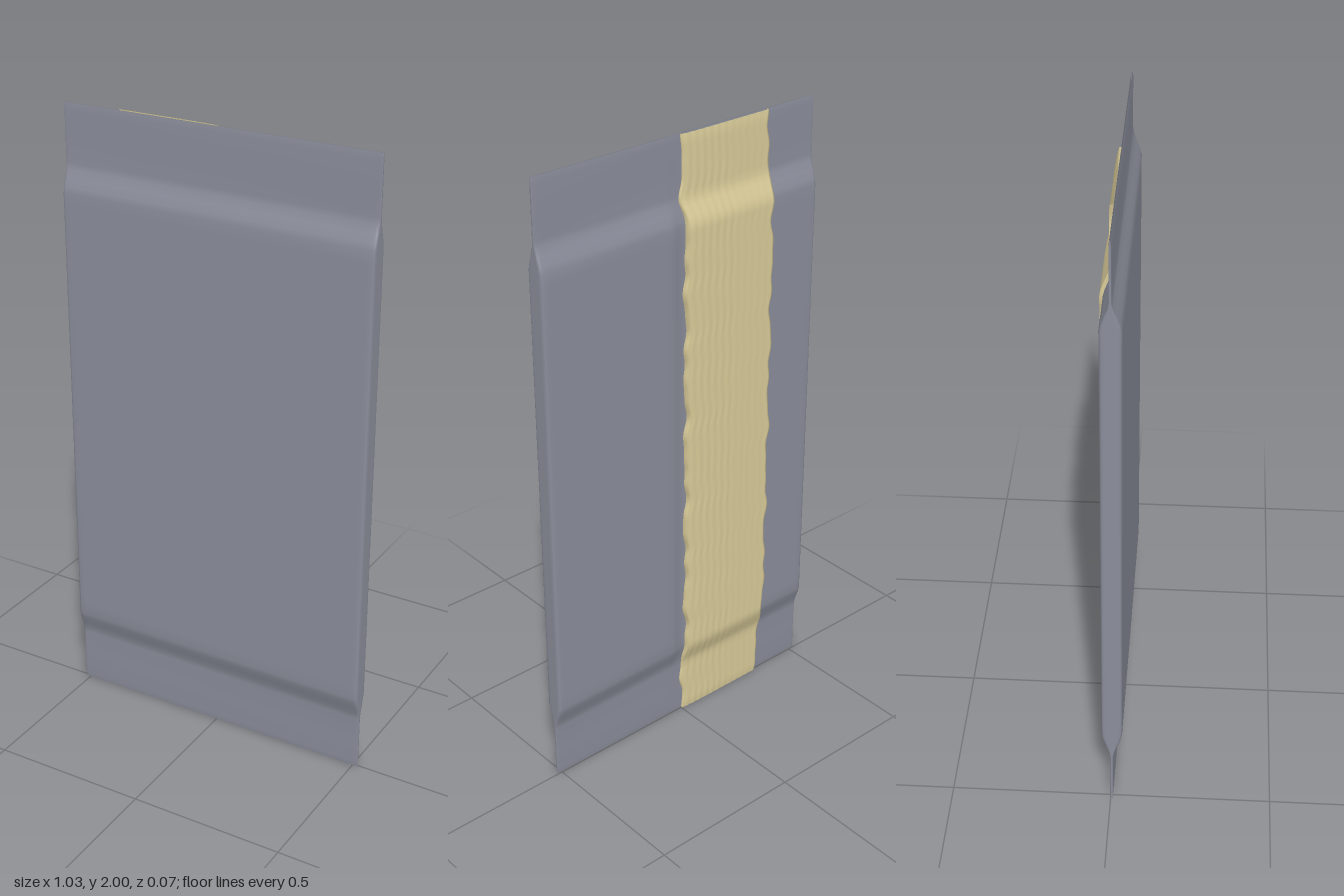
import * as THREE from 'three';

const film = new THREE.MeshStandardMaterial({ color: 0x8a8d9a, side: THREE.DoubleSide });
film.name = 'grey film';
const tape = new THREE.MeshStandardMaterial({ color: 0xd9cb99, side: THREE.DoubleSide });
tape.name = 'pale yellow strip';

const W = 0.517, MID = 0.004;

// Half thickness of the packet over its height: thin seals, sloped shoulders, flat body
const profile = [
  [0, 0.0015], [0.02, 0.004], [0.1, 0.004], [0.18, 0.004], [0.2, 0.007], [0.225, 0.0165],
  [0.25, 0.026], [0.27, 0.031], [0.31, 0.031], [1, 0.031],
];
const rows = [...profile, ...profile.slice(0, -1).reverse().map(([y, h]) => [2 - y, h])];

function halfDepth(y) {
  const i = Math.max(1, rows.findIndex(r => r[0] >= y));
  const [y0, h0] = rows[i - 1], [y1, h1] = rows[i];
  return h0 + (h1 - h0) * (y - y0) / (y1 - y0);
}

// Smooth grid surface; point(i, j) gives [x, y, z] with x rising in i and y in j
function sheet(name, nx, ny, point, material, facesBack) {
  const pos = [], index = [];
  for (let j = 0; j < ny; j++)
    for (let i = 0; i < nx; i++) pos.push(...point(i, j));
  for (let j = 0; j < ny - 1; j++)
    for (let i = 0; i < nx - 1; i++) {
      const a = j * nx + i, b = a + 1, c = a + nx, d = c + 1;
      if (facesBack) index.push(a, c, b, b, c, d);
      else index.push(a, b, c, b, d, c);
    }
  const g = new THREE.BufferGeometry();
  g.setAttribute('position', new THREE.Float32BufferAttribute(pos, 3));
  g.setIndex(index);
  g.computeVertexNormals();
  const mesh = new THREE.Mesh(g, material);
  mesh.name = name;
  return mesh;
}

// Film cross-section: [x, share of the depth, extra groove depth share]
const leftEdge = [[-W, 0], [-W, 0.5], [-W, 0.75], [-0.514, 0.92], [-0.507, 1], [-0.49, 1]];
const rightEdge = leftEdge.map(([x, s]) => [-x, s]).reverse();
const frontSection = [...leftEdge, [0, 1], ...rightEdge];
const backSection = [...leftEdge, [-0.3, 1], [-0.05, 1], [-0.02, 0.65], [0.01, 0.65],
  [0.03, 0.8], [0.045, 0.95], [0.06, 1], [0.1, 1], ...rightEdge];

function panel(name, section, dir) {
  return sheet(name, section.length, rows.length, (i, j) => {
    const [x, share] = section[i], [y, h] = rows[j];
    return [x, y, MID + dir * h * share];
  }, film, dir < 0);
}

// Rippled strip over the back seam, with wavy long edges turned down to the film
function seamStrip() {
  const nx = 64, ny = 161;
  const wave = (y, p) => 0.004 * Math.sin(y * 23 + p) + 0.003 * Math.sin(y * 41 + p * 2.3)
    + 0.002 * Math.sin(y * 67 + p * 3.1);
  return sheet('seamStrip', nx, ny, (i, j) => {
    const y = 2 * j / (ny - 1);
    const u = THREE.MathUtils.clamp((i - 1) / (nx - 3), 0, 1);
    const x0 = -0.33 + wave(y, 1), x1 = wave(y, 4);
    const h = halfDepth(y);
    const skirt = i === 0 || i === nx - 1;
    const ripple = (u > 0.45 ? 0.0008 : 0.0003) * Math.sin(u * 75);
    const lift = skirt ? 0 : 0.01 - 0.004 * Math.pow(u, 8) + ripple;
    const base = i === nx - 1 ? h * 0.65 : h;
    return [x0 + (x1 - x0) * u, y, MID - base - lift];
  }, tape, true);
}

export function createModel() {
  const model = new THREE.Group();
  model.name = 'flatPacket';
  model.add(panel('frontPanel', frontSection, 1));
  model.add(panel('backPanel', backSection, -1));
  model.add(seamStrip());
  return model;
}
